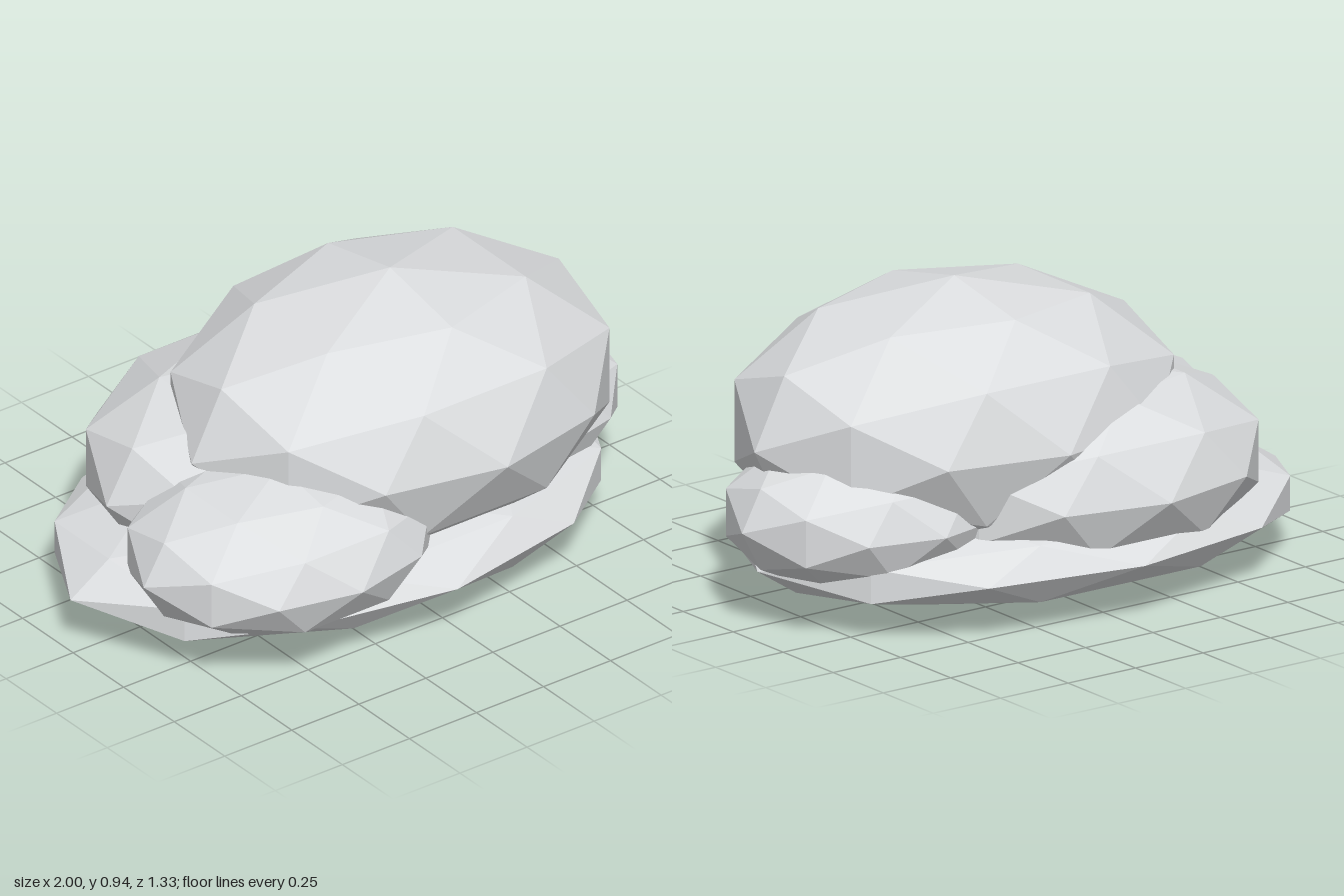
import * as THREE from 'three';

// Low-poly cloud: flat-shaded ellipsoid puffs on a wide flat base.
export function createModel() {
  const group = new THREE.Group();
  group.name = 'cloud';
  const cloudGrey = new THREE.MeshStandardMaterial({ color: 0xdcdee0, flatShading: true });
  cloudGrey.name = 'cloudGrey';

  // name, centre, radii
  const puffs = [
    ['flatBase', [-0.04, 0.178, -0.013], [0.96, 0.176, 0.643]],
    ['mainPuff', [0.15, 0.53, 0.042], [0.74, 0.415, 0.583]],
    ['frontRightPuff', [-0.42, 0.32, 0.25], [0.505, 0.24, 0.415]],
    ['leftPuff', [0.535, 0.318, -0.04], [0.462, 0.24, 0.4]],
    ['backPuff', [-0.13, 0.36, -0.14], [0.64, 0.315, 0.528]],
  ];

  for (const [name, centre, radii] of puffs) {
    const geometry = new THREE.IcosahedronGeometry(1, 1);
    geometry.rotateY(Math.PI / 2);
    geometry.scale(...radii);
    geometry.computeVertexNormals(); // unshared corners give flat facets
    const puff = new THREE.Mesh(geometry, cloudGrey);
    puff.name = name;
    puff.position.set(...centre);
    group.add(puff);
  }
  return group;
}
